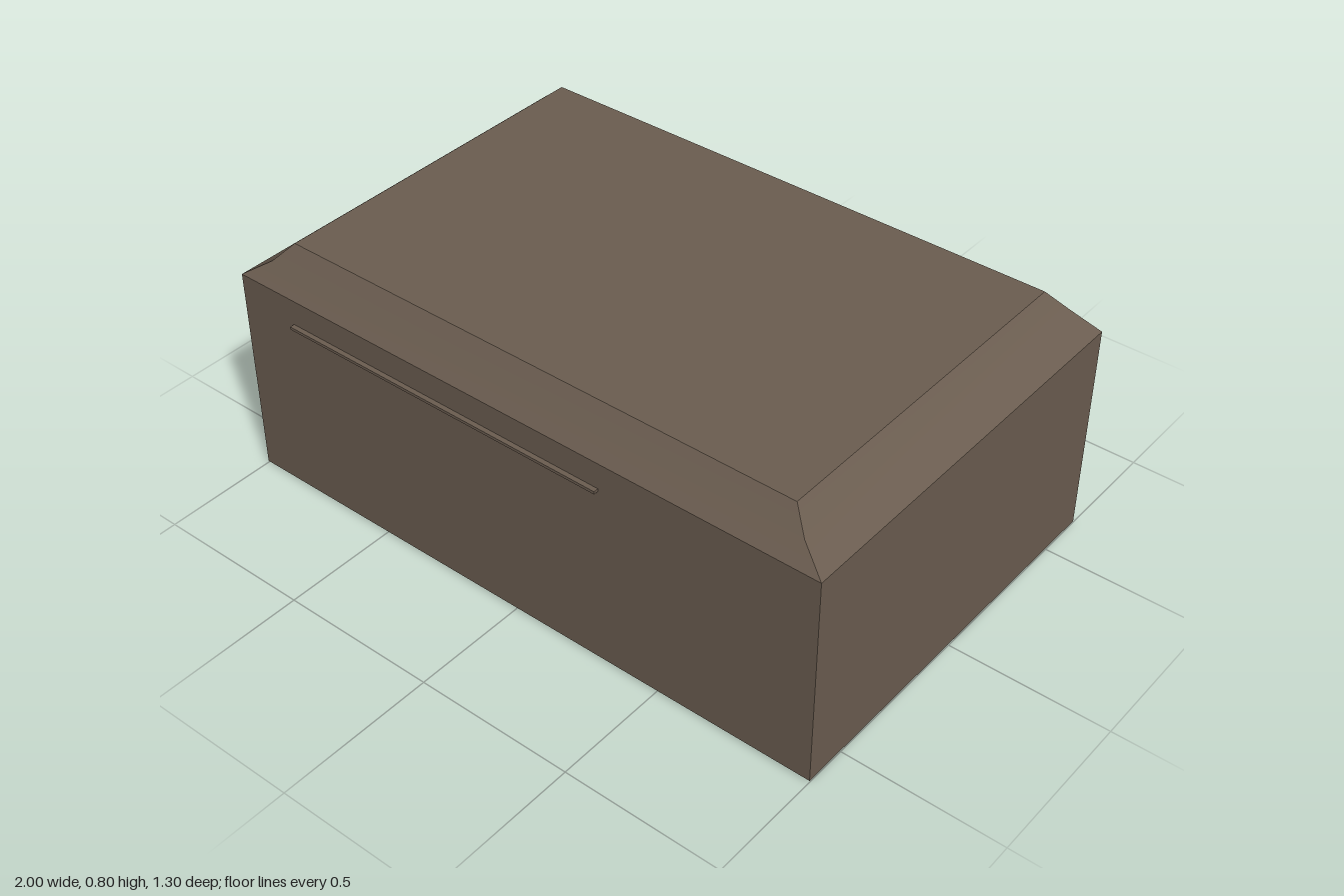
import * as THREE from 'three';

// Quad strip through successive rows; each row is a [left, right] pair of points
function strip(rows) {
  const g = new THREE.BufferGeometry();
  g.setAttribute('position', new THREE.Float32BufferAttribute(rows.flat(2), 3));
  const idx = [];
  for (let i = 0; i < rows.length - 1; i++) {
    const a = i * 2;
    idx.push(a, a + 1, a + 3, a, a + 3, a + 2);
  }
  g.setIndex(idx);
  g.computeVertexNormals();
  return g;
}

export function createModel() {
  const group = new THREE.Group();
  const brown = new THREE.MeshStandardMaterial({ color: 0x6b5d50 });
  brown.name = 'dull brown';

  function add(name, geometry) {
    const mesh = new THREE.Mesh(geometry, brown);
    mesh.name = name;
    group.add(mesh);
  }
  function box(name, x0, x1, y0, y1, z0, z1) {
    const g = new THREE.BoxGeometry(x1 - x0, y1 - y0, z1 - z0);
    g.translate((x0 + x1) / 2, (y0 + y1) / 2, (z0 + z1) / 2);
    add(name, g);
  }

  // Rectangular levels from base to top: half width, height, back z, front z
  const levels = [
    [1, 0.005, -0.65, 0.635],
    [1, 0.682, -0.65, 0.635],
    [0.915, 0.74, -0.61, 0.59],
    [0.86, 0.8, -0.562, 0.549],
  ];
  // Corners anticlockwise from above: front left, front right, back right, back left
  const rings = levels.map(([w, y, b, f]) => [[-w, y, f], [w, y, f], [w, y, b], [-w, y, b]]);

  // Upright walls and the slightly hollow bevels above them
  ['front', 'left', 'back', 'right'].forEach((side, i) => {
    const edge = (r) => [r[i], r[(i + 1) % 4]];
    add(side + 'Wall', strip(rings.slice(0, 2).map(edge)));
    add(side + 'Bevel', strip(rings.slice(1).map(edge)));
  });

  // Flat top and underside
  const [t0, t1, t2, t3] = rings[3];
  add('topPanel', strip([[t0, t1], [t3, t2]]));
  const [b0, b1, b2, b3] = rings[0];
  add('underside', strip([[b3, b2], [b0, b1]]));

  // Thin ledge across the front
  box('frontLedge', -0.8, 0.31, 0.591, 0.6, 0.63, 0.65);

  // Raised plate and narrow batten underneath
  box('basePlate', -0.91, -0.67, 0, 0.008, -0.415, -0.355);
  box('baseBatten', -0.99, 0.03, 0.003, 0.008, -0.018, -0.006);

  return group;
}
